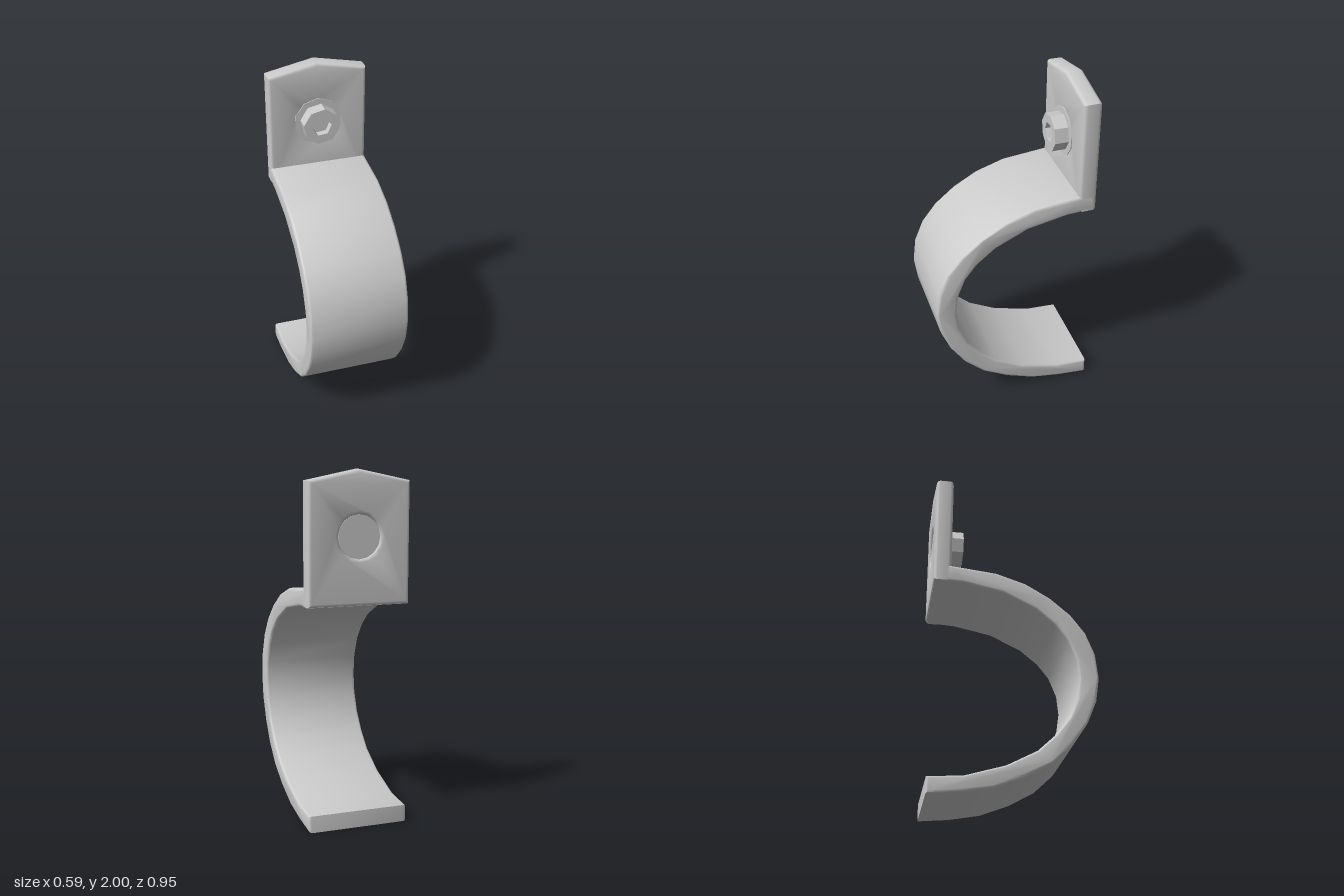
import * as THREE from 'three';
import { toCreasedNormals } from 'three/addons/utils/BufferGeometryUtils.js';

const HALF = 0.293;      // half width of the strap
const BACK = -0.475;     // wall side
const FRONT = -0.372;    // front face of the mounting tab
const BOLT_Y = 1.64;

const toShape = (pts) => new THREE.Shape(pts.map(([x, y]) => new THREE.Vector2(x, y)));

function polygon(radius, sides, turn = 0, cy = 0) {
  const pts = [];
  for (let i = 0; i < sides; i++) {
    const a = turn + (i / sides) * Math.PI * 2;
    pts.push(new THREE.Vector2(radius * Math.cos(a), cy + radius * Math.sin(a)));
  }
  return pts;
}

// Extrusion with softened edges that stays inside the drawn outline
function rounded(shape, depth, r) {
  const geo = new THREE.ExtrudeGeometry(shape, {
    depth: depth - 2 * r, bevelThickness: r, bevelSize: r, bevelOffset: -r,
    bevelSegments: 3, curveSegments: 12,
  });
  geo.translate(0, 0, r);
  return toCreasedNormals(geo, 0.7);
}

export function createModel() {
  const model = new THREE.Group();
  const material = new THREE.MeshStandardMaterial({ color: 0xcccccc });
  const add = (name, geo, z = 0, y = 0) => {
    const mesh = new THREE.Mesh(geo, material);
    mesh.name = name;
    mesh.position.set(0, y, z);
    model.add(mesh);
  };

  // Curved strap: (z, y) section, outer side from the foot up, then inner side back down
  const outer = [
    [BACK, 0.003], [-0.3, 0.018], [-0.12, 0.05], [0.05, 0.115], [0.2, 0.2], [0.315, 0.31],
    [0.4, 0.44], [0.455, 0.575], [0.475, 0.715], [0.458, 0.86], [0.405, 0.99], [0.32, 1.1],
    [0.2, 1.2], [0.06, 1.28], [-0.11, 1.335], [-0.3, 1.355], [-0.4, 1.365],
  ];
  const inner = [
    [-0.465, 1.362], [-0.465, 1.266], [-0.3, 1.256], [-0.07, 1.21], [0.12, 1.12], [0.23, 1.03],
    [0.3, 0.94], [0.348, 0.82], [0.36, 0.7], [0.345, 0.59], [0.298, 0.47], [0.22, 0.365],
    [0.12, 0.27], [-0.05, 0.18], [-0.28, 0.112], [BACK, 0.1],
  ];
  const strap = rounded(toShape([...outer, ...inner]), HALF * 2, 0.015);
  strap.translate(0, 0, -HALF);
  strap.rotateY(-Math.PI / 2);
  add('strap', strap);

  // Upright tab with a shallow peaked top and a bolt hole
  const tab = toShape([[-HALF, 1.265], [HALF, 1.265], [HALF, 1.94], [0, 2], [-HALF, 1.94]]);
  tab.holes.push(new THREE.Path(polygon(0.12, 16, 0, BOLT_Y).reverse()));
  add('mountingTab', rounded(tab, FRONT - BACK, 0.02), BACK);

  // Bolt shank closing the hole, and its flush flange
  const disc = (radius, sides, depth) => toCreasedNormals(
    new THREE.CylinderGeometry(radius, radius, depth, sides).rotateX(Math.PI / 2), 0.9);
  add('boltShank', disc(0.121, 16, 0.075), -0.427, BOLT_Y);
  add('boltFlange', disc(0.145, 10, 0.02), FRONT - 0.005, BOLT_Y);

  // Eight-sided head with a socket
  const head = new THREE.Shape(polygon(0.11, 8, -0.17));
  head.holes.push(new THREE.Path(polygon(0.058, 6, 0.1).reverse()));
  add('boltHead', new THREE.ExtrudeGeometry(head, { depth: 0.09, bevelEnabled: false }), -0.376, BOLT_Y);
  add('socketFloor', disc(0.065, 6, 0.04), -0.35, BOLT_Y);

  return model;
}
